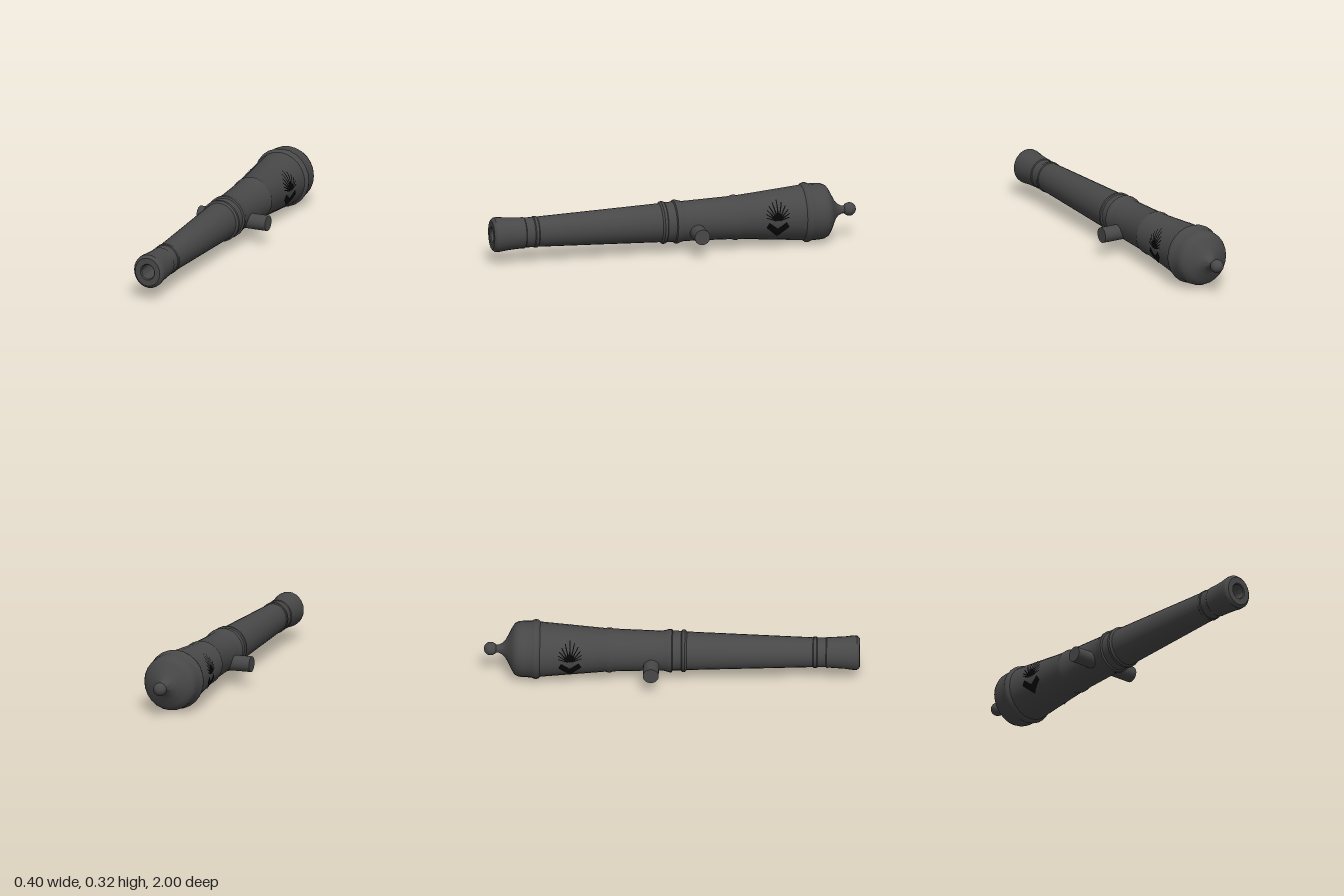
import * as THREE from 'three';
import { toCreasedNormals } from 'three/addons/utils/BufferGeometryUtils.js';

const AXIS = 0.162; // height of the barrel's centre line

// The barrel is slightly narrower than tall, more so toward the muzzle
const squash = (z) => 0.95 - 0.035 * z;

// Barrel wall radius behind the trunnions, where the emblems sit
const wallRadius = (z) => 0.117 + (-0.35 - z) * 0.0886;

// Turn a profile of [z, radius] points around the z axis
function turned(profile, segments) {
  const g = new THREE.LatheGeometry(profile.map(([z, r]) => new THREE.Vector2(r, z)), segments);
  g.rotateX(Math.PI / 2);
  const p = g.attributes.position;
  for (let i = 0; i < p.count; i++) p.setX(i, p.getX(i) * squash(p.getZ(i)));
  return toCreasedNormals(g, 0.6);
}

// Four-cornered patch, corners as [z, y] from the emblem centre, wrapped on the barrel
function wrappedPatch(a, b, c, d, side) {
  const g = new THREE.PlaneGeometry(1, 1, 4, 8);
  const p = g.attributes.position;
  const mix = THREE.MathUtils.lerp;
  for (let i = 0; i < p.count; i++) {
    const u = p.getX(i) + 0.5, v = p.getY(i) + 0.5;
    const z = mix(mix(a[0], b[0], u), mix(d[0], c[0], u), v) - 0.54;
    const y = mix(mix(a[1], b[1], u), mix(d[1], c[1], u), v);
    const r = wallRadius(z) + 0.005;
    p.setXYZ(i, side * squash(z) * Math.sqrt(r * r - y * y), AXIS + y, z);
  }
  g.computeVertexNormals();
  return g;
}

export function createModel() {
  const model = new THREE.Group();
  const iron = new THREE.MeshStandardMaterial({ color: 0x484848 });
  iron.name = 'dark iron';
  const black = new THREE.MeshStandardMaterial({ color: 0x050505, side: THREE.DoubleSide });
  black.name = 'black paint';

  const add = (name, geometry, material, parent = model) => {
    const mesh = new THREE.Mesh(geometry, material);
    mesh.name = name;
    parent.add(mesh);
    return mesh;
  };

  // Barrel from the neck of the knob to the muzzle, then back down the bore
  add('barrel', turned([
    [-0.95, 0.02], [-0.92, 0.022], [-0.9, 0.032], [-0.885, 0.048], [-0.87, 0.075],
    [-0.85, 0.115], [-0.835, 0.138], [-0.815, 0.148], [-0.79, 0.151], [-0.745, 0.152],
    [-0.735, 0.158], [-0.722, 0.161], [-0.71, 0.158], [-0.7, 0.148],
    [-0.35, 0.117], [-0.34, 0.121], [-0.325, 0.121], [-0.31, 0.115],
    [-0.05, 0.107], [-0.03, 0.112], [-0.015, 0.117], [0.0, 0.117], [0.005, 0.108],
    [0.05, 0.107], [0.055, 0.114], [0.07, 0.114], [0.08, 0.104],
    [0.75, 0.081], [0.755, 0.085], [0.77, 0.085], [0.775, 0.081],
    [0.82, 0.08], [0.825, 0.084], [0.84, 0.083],
    [0.92, 0.088], [0.965, 0.094], [0.985, 0.093], [0.994, 0.086], [1, 0.078],
    [1, 0.045], [0.994, 0.04], [0.8, 0.04], [0.8, 0],
  ], 24), iron).position.y = AXIS;

  // Round knob at the rear
  add('knob', new THREE.SphereGeometry(0.036, 20, 14), iron).position.set(0, AXIS, -0.964);

  // Trunnions and emblems on both sides
  for (const side of [1, -1]) {
    const prefix = side > 0 ? 'left' : 'right';
    const trunnion = add(prefix + 'Trunnion', new THREE.CylinderGeometry(0.042, 0.042, 0.14, 24), iron);
    trunnion.rotation.z = Math.PI / 2;
    trunnion.position.set(side * 0.13, 0.123, -0.108);

    const emblem = new THREE.Group();
    emblem.name = prefix + 'Emblem';
    model.add(emblem);

    // Fan of tapering rays
    for (let i = -5; i <= 5; i++) {
      const t = i * 0.25;
      const length = 0.108 - 0.0085 * Math.abs(i);
      const dz = Math.sin(t), dy = Math.cos(t);
      const at = (d, w) => [dz * d + dy * w, dy * d - dz * w];
      add('ray', wrappedPatch(at(0.008, -0.004), at(0.008, 0.004),
        at(length, 0.0022), at(length, -0.0022), side), black, emblem);
    }
    // Solid root of the fan
    add('fanRoot', wrappedPatch([0, 0], [0.034, 0.022], [0, 0.05], [-0.034, 0.022], side), black, emblem);

    // Chevron below the fan
    for (const s of [1, -1]) {
      add('chevronArm', wrappedPatch([0, -0.09], [s * 0.062, -0.034],
        [s * 0.046, -0.006], [0, -0.042], side), black, emblem);
    }
  }
  return model;
}
